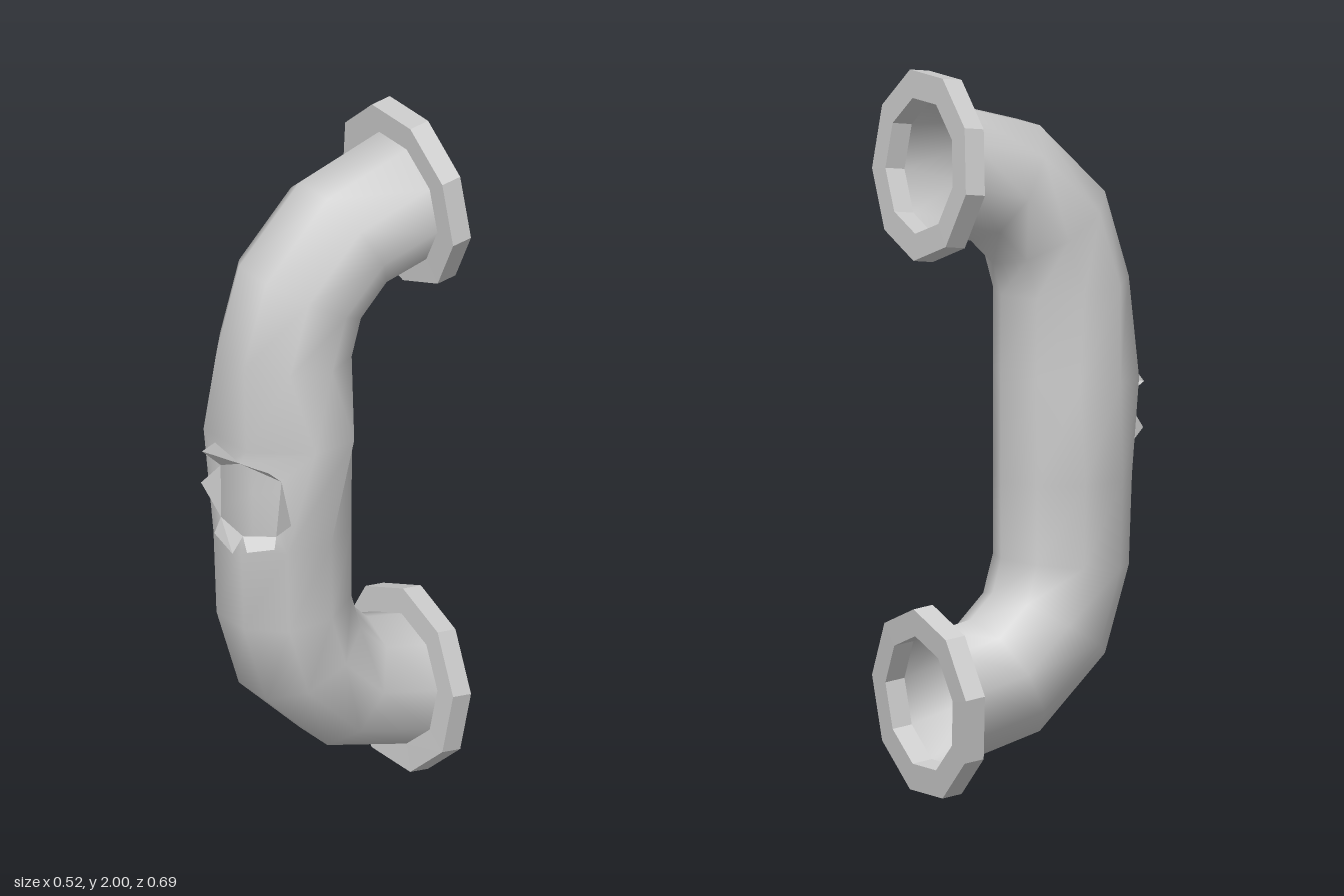
import * as THREE from 'three';

const SIDES = 9;
const C20 = Math.cos(Math.PI / 9);
const metal = (flatShading) => new THREE.MeshStandardMaterial({ color: 0xcccccc, flatShading, side: THREE.DoubleSide });

// Nine-sided ring between an outer-bend point and an inner-bend point, each [y, z]
function ring(outer, inner, r) {
  return Array.from({ length: SIDES }, (_, j) => {
    const a = ((20 + 40 * j) * Math.PI) / 180;
    const t = (C20 - Math.cos(a)) / (C20 + 1);
    return [
      r * Math.sin(a),
      THREE.MathUtils.lerp(outer[0], inner[0], t),
      THREE.MathUtils.lerp(outer[1], inner[1], t),
    ];
  });
}

function geometry(points, index) {
  const g = new THREE.BufferGeometry();
  g.setAttribute('position', new THREE.Float32BufferAttribute(points.flat(), 3));
  g.setIndex(index);
  g.computeVertexNormals();
  return g;
}

// Faces joining successive rings; skip(i, j) leaves a face out
function skin(count, closed, skip = () => false) {
  const index = [];
  for (let i = 0; i < (closed ? count : count - 1); i++) {
    for (let j = 0; j < SIDES; j++) {
      if (skip(i, j)) continue;
      const k = (j + 1) % SIDES, n = (i + 1) % count;
      const a = i * SIDES + j, b = i * SIDES + k, c = n * SIDES + j, d = n * SIDES + k;
      index.push(a, c, b, b, c, d);
    }
  }
  return index;
}

// Rim of the burst hole, clockwise from its upper left corner
const hole = [
  [-0.045, 1.06, 0.3], [0.05, 1.105, 0.303], [0.165, 1.08, 0.245],
  [0.14, 0.9, 0.245], [0.06, 0.885, 0.3], [-0.03, 0.91, 0.31],
];

function makePipe() {
  const bend = [
    [[1.915, -0.246], [1.55, -0.275]],
    [[1.84, 0.02], [1.525, -0.16]],
    [[1.64, 0.225], [1.455, -0.09]],
    [[1.4, 0.3], [1.365, -0.065]],
  ];
  const flip = ([y, z]) => [2 - y, z];
  const top = bend.map(([o, i]) => ring(o, i, 0.19));
  const bottom = bend.map(([o, i]) => ring(flip(o), flip(i), 0.19)).reverse();

  // Swollen ring above the hole
  const swollen = ring([1.15, 0.3], [1.15, -0.066], 0.19);
  swollen[0] = [0.075, 1.15, 0.3];
  swollen[1] = [0.228, 1.17, 0.175];
  swollen[2] = [0.22, 1.17, 0.04];
  swollen[6] = [-0.2, 1.13, 0.07];
  swollen[7] = [-0.215, 1.13, 0.19];
  swollen[8] = [-0.14, 1.13, 0.29];
  const lower = ring([0.85, 0.31], [0.85, -0.066], 0.19);

  const rings = [...top, swollen, lower, ...bottom];
  const index = skin(rings.length, false, (i, j) => i === 4 && (j === 8 || j === 0));

  // Collar of faces from the two open panels in to the rim of the hole
  const u = 4 * SIDES, l = 5 * SIDES, h = rings.length * SIDES;
  const border = [u + 8, u, u + 1, l + 1, l, l + 8];
  for (let i = 0; i < 6; i++) {
    const n = (i + 1) % 6;
    index.push(border[i], h + i, border[n], border[n], h + i, h + n);
  }
  const mesh = new THREE.Mesh(geometry([...rings.flat(), ...hole], index), metal(false));
  mesh.name = 'pipe';
  return mesh;
}

function makeFlange(name) {
  const back = ([y, z]) => [y + 0.008, z - 0.06];
  const rim = [[1.99, -0.24], [1.475, -0.28]];
  const bore = [[1.915, -0.246], [1.55, -0.275]];
  const rings = [
    ring(...rim.map(back), 0.265), ring(...rim, 0.265),
    ring(...bore, 0.19), ring(...bore.map(back), 0.19),
  ];
  const mesh = new THREE.Mesh(geometry(rings.flat(), skin(4, true)), metal(true));
  mesh.name = name;
  return mesh;
}

// Torn flaps bent outward from each edge of the hole: their outer corners
function makeFlaps() {
  const tips = [
    [[-0.07, 1.105, 0.345], [-0.03, 1.145, 0.33]],
    [[0.175, 1.155, 0.345], [0.213, 1.15, 0.323]],
    [[0.26, 0.995, 0.28]],
    [[0.16, 0.875, 0.265], [0.1, 0.855, 0.315]],
    [[0.05, 0.835, 0.328], [-0.04, 0.86, 0.325]],
    [[-0.11, 0.985, 0.32]],
  ];
  const group = new THREE.Group();
  group.name = 'tornFlaps';
  tips.forEach((tip, i) => {
    const a = hole[i], b = hole[(i + 1) % 6];
    const points = tip.length === 2 ? [a, tip[0], tip[1], b] : [a, tip[0], b];
    const index = tip.length === 2 ? [0, 1, 3, 1, 2, 3] : [0, 1, 2];
    const mesh = new THREE.Mesh(geometry(points, index), metal(true));
    mesh.name = 'tornFlap';
    group.add(mesh);
  });
  return group;
}

export function createModel() {
  const model = new THREE.Group();
  model.name = 'burstPipe';
  const lowerFlange = makeFlange('lowerFlange');
  lowerFlange.scale.y = -1;
  lowerFlange.position.y = 2;
  model.add(makePipe(), makeFlange('upperFlange'), lowerFlange, makeFlaps());
  return model;
}
